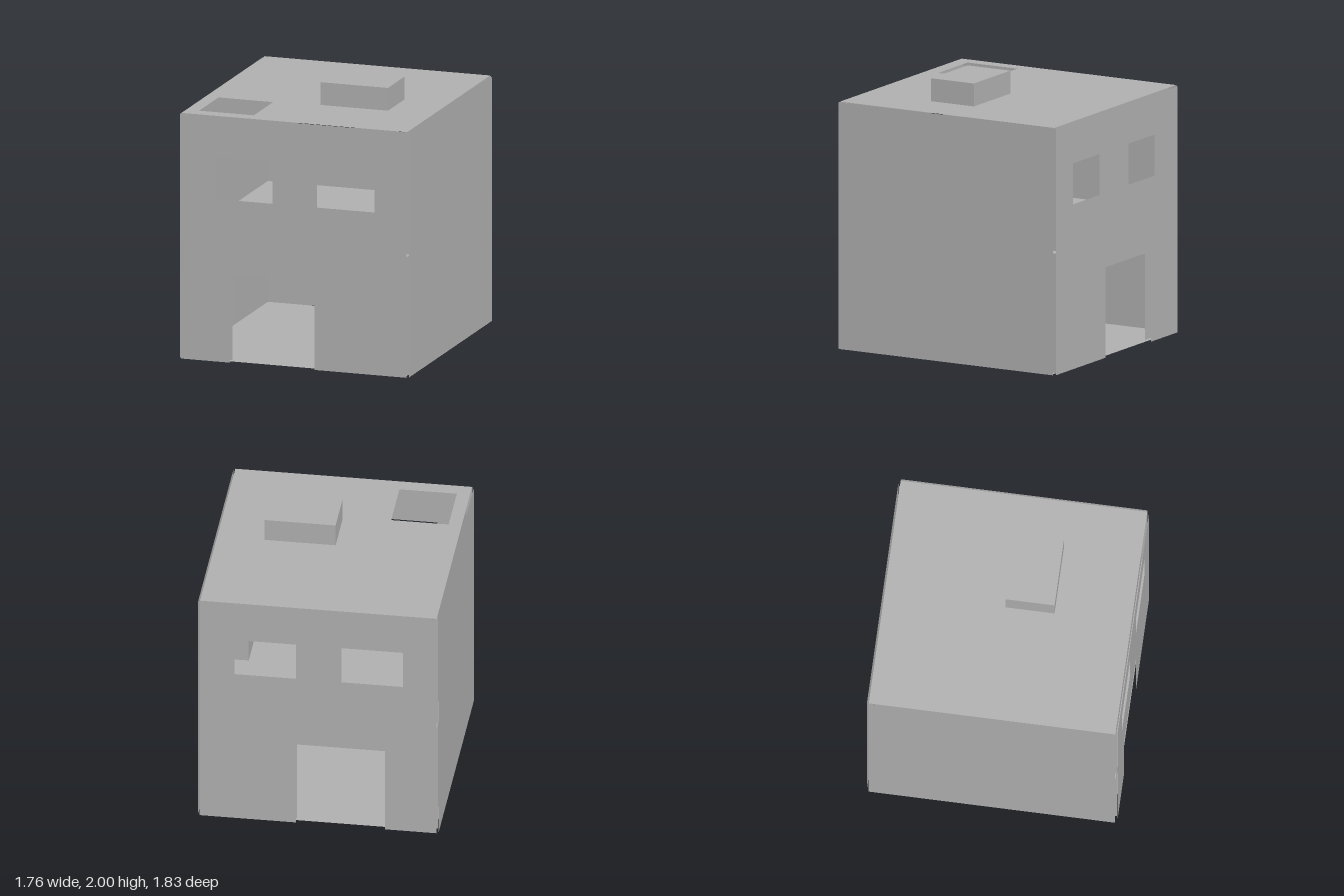
import * as THREE from 'three';

export function createModel() {
  const house = new THREE.Group();
  house.name = 'house';
  const plaster = new THREE.MeshStandardMaterial({ color: 0xb0b0b0, side: THREE.DoubleSide });
  plaster.name = 'plaster grey';

  const X = 0.88, Z = 0.915, TOP = 1.83, MID = 0.9;
  const GAP = 0.014;   // open seam along the corners
  const SKIN = 0.05;   // distance between outer and inner wall skins

  const rect = (Kind, x0, y0, x1, y1) => new Kind([
    new THREE.Vector2(x0, y0), new THREE.Vector2(x1, y0),
    new THREE.Vector2(x1, y1), new THREE.Vector2(x0, y1)]);

  function add(name, geometry) {
    const mesh = new THREE.Mesh(geometry, plaster);
    mesh.name = name;
    house.add(mesh);
    return mesh;
  }

  // Flat sheet facing +z
  const sheet = (shape) => new THREE.ShapeGeometry(shape);

  // Wall outline with a doorway cut from the bottom edge
  function doorWall(w, y0, y1) {
    return new THREE.Shape([[-w, y0], [-0.49, y0], [-0.49, 0.67], [0.16, 0.67],
      [0.16, y0], [w, y0], [w, y1], [-w, y1]].map(p => new THREE.Vector2(...p)));
  }
  function cutWindows(shape) {
    shape.holes.push(rect(THREE.Path, -0.62, 1.2, -0.165, 1.525),
      rect(THREE.Path, 0.16, 1.2, 0.62, 1.525));
    return shape;
  }

  // Front and back walls: outer skin, and an inner skin for each storey
  for (const s of [1, -1]) {
    const side = s > 0 ? 'front' : 'back';
    const place = (name, shape, z) => {
      const g = sheet(shape);
      // turn the back sheets outward without swapping the openings
      if (s < 0) {
        const idx = g.index.array;
        for (let i = 0; i < idx.length; i += 3) [idx[i], idx[i + 1]] = [idx[i + 1], idx[i]];
        g.computeVertexNormals();
      }
      add(name, g).position.z = s * z;
    };
    place(side + 'Wall', cutWindows(doorWall(X - GAP, 0, TOP - 0.008)), Z);
    place(side + 'LowerLining', doorWall(X - 0.008, 0.008, MID - 0.01), Z - SKIN);
    place(side + 'UpperLining',
      cutWindows(rect(THREE.Shape, -X + 0.008, MID + 0.01, X - 0.008, TOP - 0.012)), Z - SKIN);
  }

  // Closed side walls with the same two skins
  for (const s of [1, -1]) {
    const side = s > 0 ? 'left' : 'right';
    const place = (name, w, y0, y1, x) => {
      const g = sheet(rect(THREE.Shape, -w, y0, w, y1)).rotateY(s * Math.PI / 2);
      add(name, g).position.x = s * x;
    };
    place(side + 'Wall', Z - GAP, 0, TOP - 0.008, X);
    place(side + 'LowerLining', Z - 0.008, 0.008, MID - 0.01, X - SKIN);
    place(side + 'UpperLining', Z - 0.008, MID + 0.01, TOP - 0.012, X - SKIN);
  }

  // Ground floor, middle floor and roof; the upper two share a hatch
  function level(name, y, inset, hatch) {
    const shape = rect(THREE.Shape, -X + inset, -Z + inset, X - inset, Z - inset);
    if (hatch) shape.holes.push(rect(THREE.Path, -0.77, -0.795, -0.35, -0.375));
    add(name, sheet(shape).rotateX(-Math.PI / 2)).position.y = y;
  }
  level('groundFloor', 0.003, 0.028, false);
  level('middleFloor', MID, 0.012, true);
  level('roof', TOP, 0.014, true);

  // Block on the roof
  add('roofBlock', new THREE.BoxGeometry(0.52, 0.17, 0.36)).position.set(0.26, 1.915, 0.16);

  // Low block standing against the upstairs wall
  add('upstairsBlock', new THREE.BoxGeometry(0.22, 0.39, 0.5)).position.set(0.72, 1.095, 0.05);

  return house;
}
